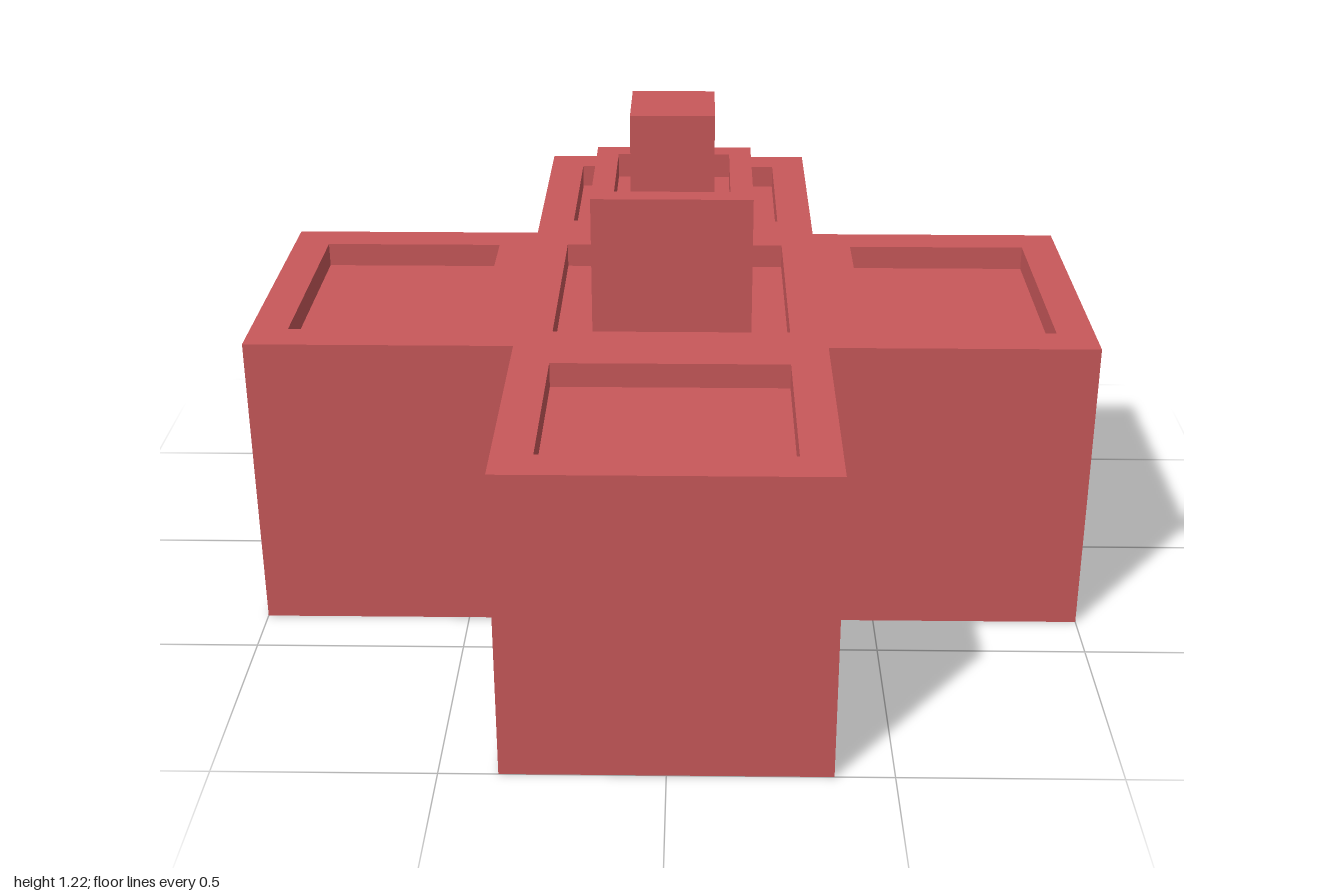
import * as THREE from 'three';
import { mergeGeometries } from 'three/addons/utils/BufferGeometryUtils.js';

// Outlines are counter-clockwise lists of [x, -z]
const square = (h, cx = 0, cy = 0, hx = h, hy = h) => [
  [cx - hx, cy - hy], [cx + hx, cy - hy], [cx + hx, cy + hy], [cx - hx, cy + hy],
];
const toPoints = (loop) => loop.map(([x, y]) => new THREE.Vector2(x, y));

// Horizontal face at height y, with optional holes
function cap(loop, y, holes = [], down = false) {
  const shape = new THREE.Shape(toPoints(loop));
  holes.forEach((h) => shape.holes.push(new THREE.Path(toPoints(h))));
  const g = new THREE.ShapeGeometry(shape).toNonIndexed();
  g.rotateX(down ? Math.PI / 2 : -Math.PI / 2).translate(0, y, 0);
  return g.deleteAttribute('uv');
}

// Vertical faces around an outline; inward faces line a recess
function walls(loop, y0, y1, inward = false) {
  const pts = inward ? [...loop].reverse() : loop;
  const pos = [];
  pts.forEach(([ax, ay], i) => {
    const [bx, by] = pts[(i + 1) % pts.length];
    pos.push(ax, y0, -ay, bx, y0, -by, bx, y1, -by, ax, y0, -ay, bx, y1, -by, ax, y1, -ay);
  });
  const g = new THREE.BufferGeometry();
  g.setAttribute('position', new THREE.Float32BufferAttribute(pos, 3));
  g.computeVertexNormals();
  return g;
}

export function createModel() {
  const group = new THREE.Group();
  const material = new THREE.MeshStandardMaterial({ color: 0xc8585a });
  const add = (name, parts) => {
    const mesh = new THREE.Mesh(mergeGeometries(parts), material);
    mesh.name = name;
    group.add(mesh);
  };

  const w = 0.367, bodyTop = 0.74, towerTop = 1.04, knobTop = 1.215, depth = 0.06;
  const cross = [
    [-w, -1], [w, -1], [w, -w], [1, -w], [1, w], [w, w],
    [w, 1], [-w, 1], [-w, w], [-1, w], [-1, -w], [-w, -w],
  ];
  const towerLoop = square(0.192), towerRecess = square(0.138), knobLoop = square(0.1);
  const centreRecess = square(0.281);
  const armRecesses = [[1, 0], [-1, 0], [0, 1], [0, -1]].map(([x, y]) =>
    square(0, x * 0.685, y * 0.685, x ? 0.225 : 0.276, y ? 0.225 : 0.276));

  // Cross-shaped block with five shallow square recesses
  const recesses = [centreRecess, ...armRecesses];
  add('crossBase', [
    walls(cross, 0, bodyTop),
    cap(cross, 0, [], true),
    cap(cross, bodyTop, recesses),
    ...recesses.map((r) => walls(r, bodyTop - depth, bodyTop, true)),
    cap(centreRecess, bodyTop - depth, [towerLoop]),
    ...armRecesses.map((r) => cap(r, bodyTop - depth)),
  ]);

  // Square tower rising from the centre recess, itself recessed on top
  add('tower', [
    walls(towerLoop, bodyTop - depth, towerTop),
    cap(towerLoop, towerTop, [towerRecess]),
    walls(towerRecess, towerTop - depth, towerTop, true),
    cap(towerRecess, towerTop - depth, [knobLoop]),
  ]);

  // Small block on the tower
  add('topBlock', [
    walls(knobLoop, towerTop - depth, knobTop),
    cap(knobLoop, knobTop),
  ]);

  return group;
}
